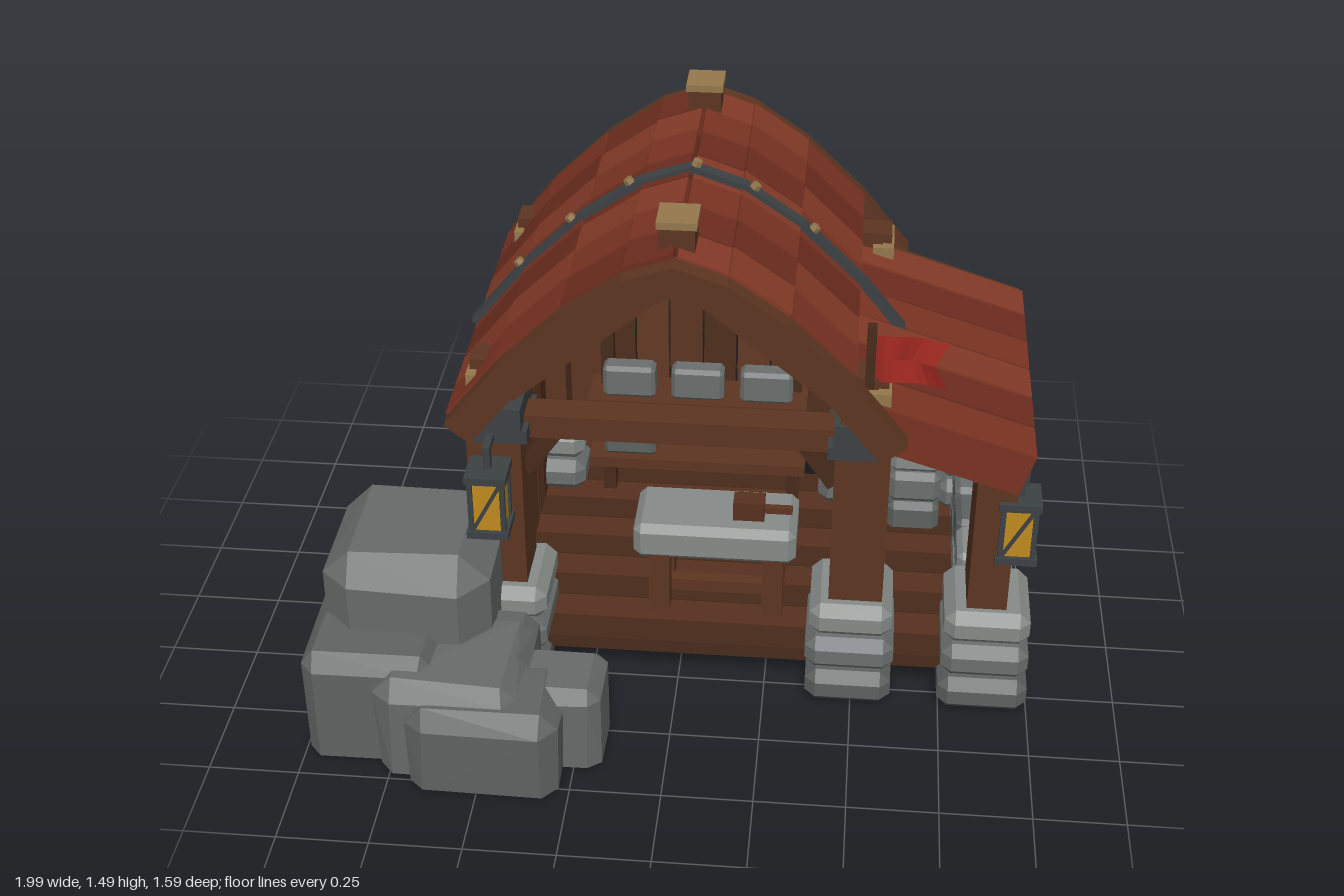
import * as THREE from 'three';
import { ConvexGeometry } from 'three/addons/geometries/ConvexGeometry.js';

const C = { wood: 0x5c3521, dark: 0x472a1b, floor: 0x57301f, tan: 0x94774c, iron: 0x3c4143, amber: 0xc08a20, flag: 0xa52a22 };
const ROOF = [0x7a3322, 0x6c2c1e, 0x843a27];
const STONE = [0x6a6f6e, 0x868b88, 0x5c6160];
const WOODS = [0x5c3521, 0x4f2e1d, 0x633a24];

export function createModel() {
  const model = new THREE.Group();
  const mats = {};
  const mat = (color) => (mats[color] ??= new THREE.MeshStandardMaterial({ color, flatShading: true }));
  let seed = 7;
  const rnd = () => (seed = (seed * 16807) % 2147483647) / 2147483647 - 0.5;

  const add = (name, geo, color, parent = model) => {
    const m = new THREE.Mesh(geo, mat(color));
    m.name = name;
    parent.add(m);
    return m;
  };
  // Box given by its lower and upper limits on each axis
  const box = (name, x0, x1, y0, y1, z0, z1, color, parent) => {
    const m = add(name, new THREE.BoxGeometry(x1 - x0, y1 - y0, z1 - z0), color, parent);
    m.position.set((x0 + x1) / 2, (y0 + y1) / 2, (z0 + z1) / 2);
    return m;
  };
  // Sloping timber between two points in the xy plane
  const beam = (name, [ax, ay], [bx, by], thick, z, depth, color, parent) => {
    const m = add(name, new THREE.BoxGeometry(Math.hypot(bx - ax, by - ay), thick, depth), color, parent);
    m.position.set((ax + bx) / 2, (ay + by) / 2, z);
    m.rotation.z = Math.atan2(by - ay, bx - ax);
    return m;
  };
  // Chamfered block, optionally roughened into a boulder
  const stone = (name, x0, x1, y0, y1, z0, z1, color, c = 0.03, rough = 0) => {
    const pts = [], h = [(x1 - x0) / 2, (y1 - y0) / 2, (z1 - z0) / 2];
    for (const sx of [-1, 1]) for (const sy of [-1, 1]) for (const sz of [-1, 1])
      for (let a = 0; a < 3; a++) {
        const p = [sx, sy, sz].map((s, i) => s * (h[i] - (i === a ? 0 : c) - Math.abs(rnd()) * rough));
        if (rough && sy < 0) p[1] = -h[1];
        pts.push(new THREE.Vector3(...p));
      }
    const m = add(name, new ConvexGeometry(pts), color);
    m.position.set((x0 + x1) / 2, (y0 + y1) / 2, (z0 + z1) / 2);
    return m;
  };

  // Bowed roof line, from the left eave over the ridge to the right eave
  const half = [[0.13, 1.355], [0.29, 1.245], [0.46, 1.08], [0.605, 0.9]];
  const line = [...half.map(([x, y]) => [-x, y]).reverse(), [0, 1.4], ...half];
  // Band following the roof line between two offsets along its normal
  const band = (name, lo, hi, z0, z1, color) => {
    const off = (d) => line.map(([x, y], i) => {
      const a = line[Math.max(0, i - 1)], b = line[Math.min(line.length - 1, i + 1)];
      const l = Math.hypot(b[0] - a[0], b[1] - a[1]);
      return new THREE.Vector2(x - (b[1] - a[1]) / l * d, y + (b[0] - a[0]) / l * d);
    });
    const geo = new THREE.ExtrudeGeometry(new THREE.Shape([...off(lo), ...off(hi).reverse()]), { depth: z1 - z0, bevelEnabled: false });
    add(name, geo, color).position.z = z0;
  };

  // Floor boards
  for (let i = 0; i < 9; i++)
    box('floorBoard', -0.54, 0.9, 0.078, 0.12, -0.66 + i * 0.1, -0.565 + i * 0.1, i % 2 ? C.floor : C.dark);

  // Stone footings and posts
  const footing = (x, z) => {
    for (let i = 0; i < 3; i++) {
      const w = 0.125 - i * 0.004 + rnd() * 0.01, d = 0.155 - i * 0.01;
      stone('footingStone', x - w, x + w, 0.01 + i * 0.11, 0.115 + i * 0.11, z - d, z + d, STONE[[2, 0, 1][i]]);
    }
  };
  for (const z of [0.19, -0.63]) {
    for (const s of [-1, 1]) {
      footing(s * 0.49, z);
      box('mainPost', s * 0.5 - 0.075, s * 0.5 + 0.075, 0.3, 0.86, z - 0.085, z + 0.085, C.wood);
      box('postStrap', s * 0.48 - 0.075, s * 0.48 + 0.075, 0.81, 0.85, z - 0.095, z + 0.095, C.iron);
      box('postCap', s * 0.48 - 0.06, s * 0.48 + 0.06, 0.85, 0.92, z - 0.1, z + 0.1, C.iron);
      // Beam ends poking through the roof, each held by a clamp
      box('eavePeg', s * 0.5 - 0.06, s * 0.5 + 0.06, 0.9, 1.04, z - 0.045, z + 0.045, C.wood);
      box('eaveClamp', s * 0.55 - 0.017, s * 0.55 + 0.017, 0.96, 1.01, z - 0.075, z + 0.075, C.tan);
      for (const t of [-1, 1])
        box('eaveClampEnd', s * 0.535 - 0.03, s * 0.535 + 0.03, 0.96, 1.01, z + t * 0.065 - 0.012, z + t * 0.065 + 0.012, C.tan);
      // Gable truss
      beam('rafter', [s * 0.5, 0.93], [0, 1.34], 0.085, z, 0.1, C.wood);
      beam('cornerBrace', [s * 0.43, 0.68], [s * 0.34, 0.81], 0.05, z, 0.05, C.dark);
    }
    box('tieBeam', -0.45, 0.45, 0.8, 0.87, z - 0.045, z + 0.045, C.wood);
    box('ridgeBracket', -0.06, 0.06, 1.27, 1.31, z - 0.06, z + 0.06, C.iron);
    const rz = z > 0 ? 0.21 : -0.645;
    box('ridgePost', -0.047, 0.047, 1.29, 1.47, rz - 0.05, rz + 0.05, C.wood);
    box('ridgePostCap', -0.053, 0.053, 1.47, 1.49, rz - 0.057, rz + 0.057, C.tan);
    // Lean-to supports
    footing(0.87, z);
    box('leanToPost', 0.81, 0.92, 0.3, 0.75, z - 0.09, z + 0.09, C.wood);
    box('leanToPostCap', 0.8, 0.95, 0.735, 0.775, z - 0.1, z + 0.06, C.iron);
  }
  beam('leanToBackRafter', [0.48, 0.92], [0.95, 0.765], 0.06, -0.71, 0.05, C.wood);
  for (const s of [-1, 1]) box('wallPlate', s * 0.5 - 0.04, s * 0.5 + 0.04, 0.8, 0.86, -0.6, 0.15, C.wood);

  // Plank walls: back and left
  for (let i = 0; i < 8; i++) {
    const x = -0.42 + i * 0.105;
    box('backWallPlank', x, x + 0.099, 0.19, 0.81, -0.66, -0.63, WOODS[i % 3]);
  }
  for (let i = 0; i < 6; i++) {
    const z = -0.545 + i * 0.109;
    box('leftWallPlank', -0.52, -0.49, 0.12, 0.81, z, z + 0.101, WOODS[(i + 1) % 3]);
  }

  // Main roof: rows of planks, stopping on the right where the lean-to begins
  for (let r = 0; r < 7; r++) {
    const z = -0.665 + r * 0.15;
    for (let i = 0; i + 2 < line.length; i++) {
      const [ax, ay] = line[i], [bx, by] = line[i + 1], lift = (i % 2) * 0.006;
      beam('roofPlank', [ax, ay + lift], [bx, by + lift], 0.036, z, 0.142, ROOF[(r + (i >> 1)) % 3]);
    }
  }
  // Gable arches and iron strap
  band('frontGableArch', -0.075, 0.012, 0.3, 0.36, C.wood);
  band('backGableArch', -0.075, 0.012, -0.795, -0.735, C.wood);
  band('roofStrap', 0.014, 0.036, -0.21, -0.17, C.iron);
  for (const x of [-0.46, -0.31, -0.15, 0, 0.15, 0.31]) {
    const k = line.findIndex((p) => p[0] > x), [a, b] = [line[k - 1], line[k]];
    const y = a[1] + (b[1] - a[1]) * (x - a[0]) / (b[0] - a[0]);
    const rivet = add('strapRivet', new THREE.CylinderGeometry(0.014, 0.016, 0.03, 6), C.tan);
    const t = Math.atan2(b[1] - a[1], b[0] - a[0]);
    rivet.position.set(x - Math.sin(t) * 0.036, y + Math.cos(t) * 0.036, -0.19);
    rivet.rotation.z = t;
  }

  // Lean-to roof planks
  for (let i = 0; i < 6; i++)
    beam('leanToPlank', [0.445, 0.942], [0.94, 0.785], 0.13, 0.21 - i * 0.153, 0.143, ROOF[i % 3]).rotation.x = rnd() * 0.06;

  // Low side wall and spare blocks
  for (let row = 0; row < 2; row++)
    for (let i = 0; i < 4; i++) {
      const z = 0.05 - row * 0.02 - i * 0.168;
      stone('sideWallStone', 0.79, 0.95, 0.08 + row * 0.127, 0.203 + row * 0.127, z - 0.16, z, STONE[(i + row) % 3], 0.016);
    }
  [0.1, 0.21, 0.32].forEach((y, i) => stone('stackedBlock', 0.59, 0.75, y, y + 0.105, -0.55, -0.39, STONE[[2, 0, 1][i]], 0.02));

  // Work table
  stone('tableTop', -0.145, 0.325, 0.305, 0.42, -0.13, 0.1, STONE[1], 0.022);
  for (const x of [-0.07, 0.26]) {
    for (const z of [-0.09, 0.06]) box('tableLeg', x - 0.03, x + 0.03, 0.12, 0.32, z - 0.03, z + 0.03, C.wood);
    box('tableSideRail', x - 0.02, x + 0.02, 0.25, 0.29, -0.08, 0.05, C.dark);
  }
  box('tableRail', -0.06, 0.25, 0.13, 0.17, -0.035, 0.005, C.wood);
  box('malletHead', 0.14, 0.23, 0.42, 0.48, -0.02, 0.04, C.floor);
  box('malletHandle', 0.2, 0.31, 0.435, 0.455, 0, 0.02, C.wood);

  // Back shelves with cut blocks
  for (const y of [0.48, 0.27]) box('shelf', -0.34, 0.33, y, y + 0.035, -0.57, -0.42, C.wood);
  for (const x of [-0.29, 0.29]) box('shelfUpright', x - 0.02, x + 0.02, 0.12, 0.77, -0.56, -0.52, C.dark);
  for (const [x, y] of [[-0.215, 0.515], [-0.005, 0.515], [0.205, 0.515], [-0.215, 0.305]])
    stone('shelfBlock', x - 0.08, x + 0.08, y, y + 0.105, -0.51, -0.44, STONE[y > 0.4 ? 0 : 2], 0.012);

  // Lanterns
  const lantern = (x, y, z, rod) => {
    const g = new THREE.Group();
    g.name = 'lantern';
    g.position.set(x, y, z);
    model.add(g);
    box('lanternGlass', -0.044, 0.044, -0.085, 0.085, -0.044, 0.044, C.amber, g);
    for (const s of [-1, 1]) {
      box('lanternCap', -0.057, 0.057, s * 0.088 - 0.011, s * 0.088 + 0.011, -0.057, 0.057, C.iron, g);
      for (const t of [-1, 1]) box('lanternCorner', s * 0.044 - 0.007, s * 0.044 + 0.007, -0.085, 0.085, t * 0.044 - 0.007, t * 0.044 + 0.007, C.iron, g);
      beam('lanternBrace', [-0.042, -0.08], [0.042, 0.08], 0.01, s * 0.046, 0.006, C.iron, g);
    }
    box('lanternRod', -0.01, 0.01, 0.09, 0.09 + rod, -0.01, 0.01, C.iron, g);
  };
  lantern(-0.505, 0.67, 0.345, 0.08);
  box('lanternArm', -0.515, -0.495, 0.82, 0.84, 0.26, 0.36, C.iron);
  lantern(0.93, 0.6, 0.24, 0.07);

  // Flag with a swallow tail, gently waved
  box('flagPole', 0.495, 0.52, 0.93, 1.2, 0.218, 0.242, C.dark);
  const cloth = new THREE.PlaneGeometry(0.19, 0.14, 8, 2);
  const p = cloth.attributes.position;
  for (let i = 0; i < p.count; i++) {
    const u = p.getX(i) / 0.19 + 0.5, mid = Math.abs(p.getY(i)) < 0.01;
    p.setX(i, u * (mid ? 0.155 : 0.19));
    p.setY(i, p.getY(i) + 0.008 * Math.sin(u * 6) - 0.01 * u);
    p.setZ(i, 0.015 * Math.sin(u * 7));
  }
  const flag = add('flag', cloth, C.flag);
  flag.material = new THREE.MeshStandardMaterial({ color: C.flag, flatShading: true, side: THREE.DoubleSide });
  flag.position.set(0.52, 1.1, 0.23);

  // Boulder pile at the left front corner
  [[-0.965, -0.49, 0.555, 0.06, 0.54, 0.08, 0.02], [-1, -0.62, 0.34, 0.26, 0.68, 0.04, 0.02],
    [-0.79, -0.38, 0.31, 0.36, 0.74, 0.045, 0.03], [-0.7, -0.27, 0.26, 0.5, 0.8, 0.05, 0.03],
    [-0.42, -0.17, 0.26, 0.43, 0.67, 0.035, 0.02], [-0.6, -0.37, 0.3, 0.3, 0.6, 0.045, 0.03]]
    .forEach(([x0, x1, y, z0, z1, c, rough], i) => stone('boulder', x0, x1, 0, y, z0, z1, i % 2 ? 0x5f6462 : 0x666b69, c, rough));

  return model;
}
